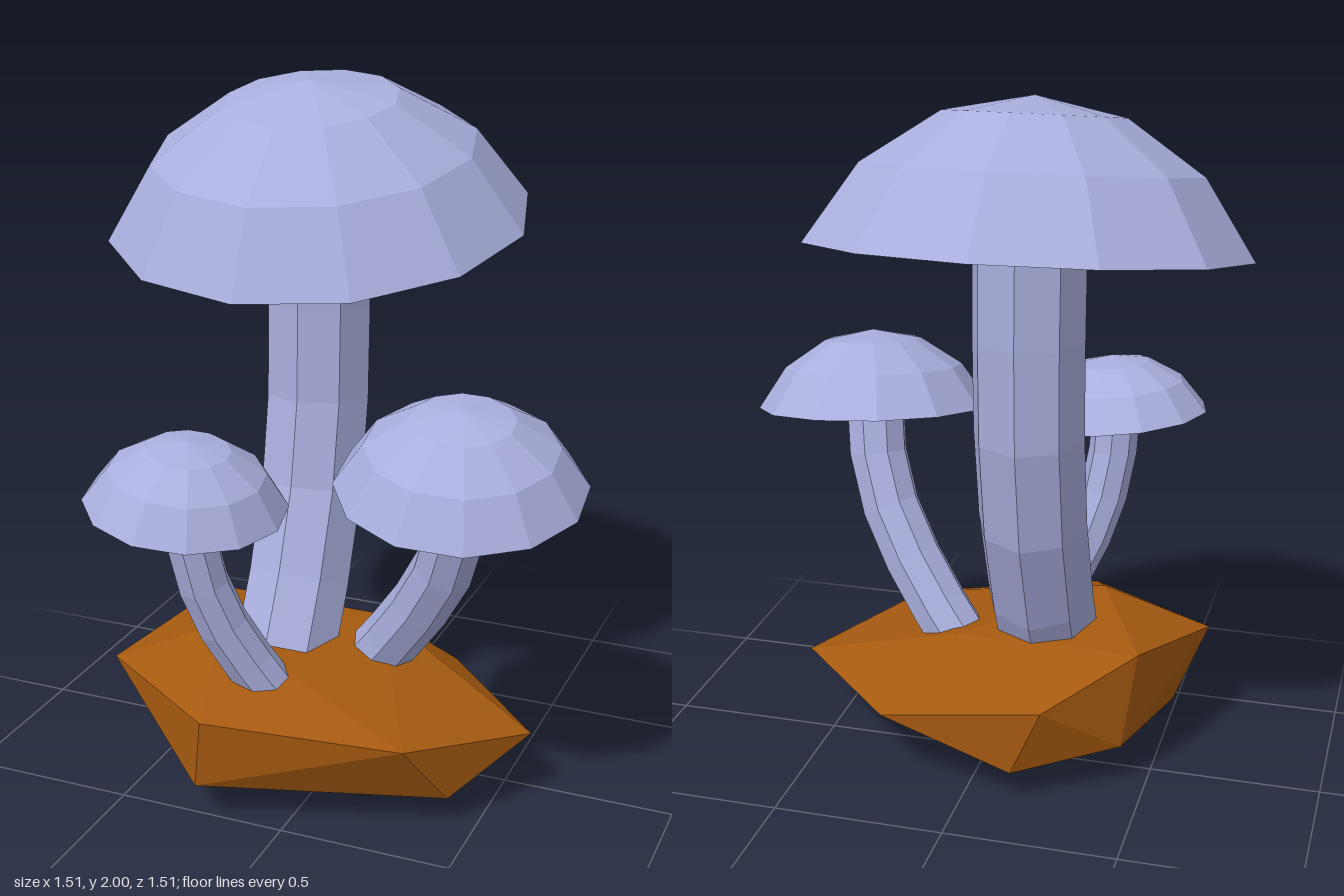
import * as THREE from 'three';
import { ConvexGeometry } from 'three/addons/geometries/ConvexGeometry.js';

const material = (name, color) => {
  const m = new THREE.MeshStandardMaterial({ color, flatShading: true });
  m.name = name;
  return m;
};

// Spherical-cap dome with a flat underside, 12 sides and 3 rings
function capGeometry(radius) {
  const height = radius * 0.663;
  const sphere = (radius * radius + height * height) / (2 * height);
  const rimAngle = Math.asin(radius / sphere);
  const profile = [new THREE.Vector2(0, 0)];
  for (let i = 3; i >= 0; i--) {
    const a = (rimAngle * i) / 3;
    profile.push(new THREE.Vector2(sphere * Math.sin(a), sphere * Math.cos(a) - sphere + height));
  }
  return new THREE.LatheGeometry(profile, 12);
}

// One mushroom: bent stem along a path, tilted cap on top
function mushroom(name, mat, { radius, centre, yaw, tilt, stemRadius, path }) {
  const group = new THREE.Group();
  group.name = name;

  const curve = new THREE.CatmullRomCurve3(path.map(p => new THREE.Vector3(...p)));
  const stem = new THREE.Mesh(new THREE.TubeGeometry(curve, 5, stemRadius, 8), mat);
  stem.name = 'stem';

  const cap = new THREE.Mesh(capGeometry(radius), mat);
  cap.name = 'cap';
  cap.position.set(...centre);
  cap.rotation.order = 'YXZ';
  cap.rotation.set(THREE.MathUtils.degToRad(tilt), THREE.MathUtils.degToRad(yaw), 0);

  group.add(stem, cap);
  return group;
}

export function createModel() {
  const model = new THREE.Group();
  model.name = 'mushroomCluster';
  const lavender = material('lavender', 0xa9aedd);
  const brown = material('brown', 0xa65a10);

  // Faceted mound of earth
  const corners = [
    [-0.05, 0, 0.14],
    // lower ring
    [-0.525, 0.127, 0.22], [-0.24, 0.117, 0.55], [0.425, 0.088, 0.3],
    [-0.14, 0.09, -0.285], [-0.43, 0.13, -0.12],
    // upper ring
    [-0.615, 0.34, 0.31], [-0.21, 0.33, 0.57], [0.34, 0.287, 0.44], [0.598, 0.218, 0.08],
    [0.25, 0.22, -0.28], [-0.23, 0.297, -0.295], [-0.47, 0.42, -0.1],
    // crown
    [-0.3, 0.47, 0.24], [0.07, 0.42, -0.1],
  ];
  const mound = new THREE.Mesh(new ConvexGeometry(corners.map(c => new THREE.Vector3(...c))), brown);
  mound.name = 'mound';
  model.add(mound);

  model.add(
    mushroom('largeMushroom', lavender, {
      radius: 0.606, centre: [-0.15, 1.605, -0.158], yaw: 0, tilt: 10, stemRadius: 0.158,
      path: [[-0.155, 0.3, 0.14], [-0.155, 0.65, -0.04], [-0.155, 0.94, -0.128],
        [-0.155, 1.22, -0.158], [-0.155, 1.64, -0.158]],
    }),
    mushroom('mediumMushroom', lavender, {
      radius: 0.347, centre: [0.412, 0.998, 0.205], yaw: 20, tilt: 11, stemRadius: 0.089,
      path: [[0.06, 0.3, 0.01], [0.2, 0.48, 0.06], [0.31, 0.65, 0.11],
        [0.38, 0.81, 0.155], [0.41, 1.03, 0.205]],
    }),
    mushroom('smallMushroom', lavender, {
      radius: 0.28, centre: [-0.278, 0.942, 0.477], yaw: 57, tilt: 8, stemRadius: 0.074,
      path: [[-0.09, 0.32, 0.32], [-0.15, 0.43, 0.36], [-0.22, 0.59, 0.415],
        [-0.265, 0.77, 0.455], [-0.278, 0.97, 0.475]],
    }),
  );
  return model;
}
